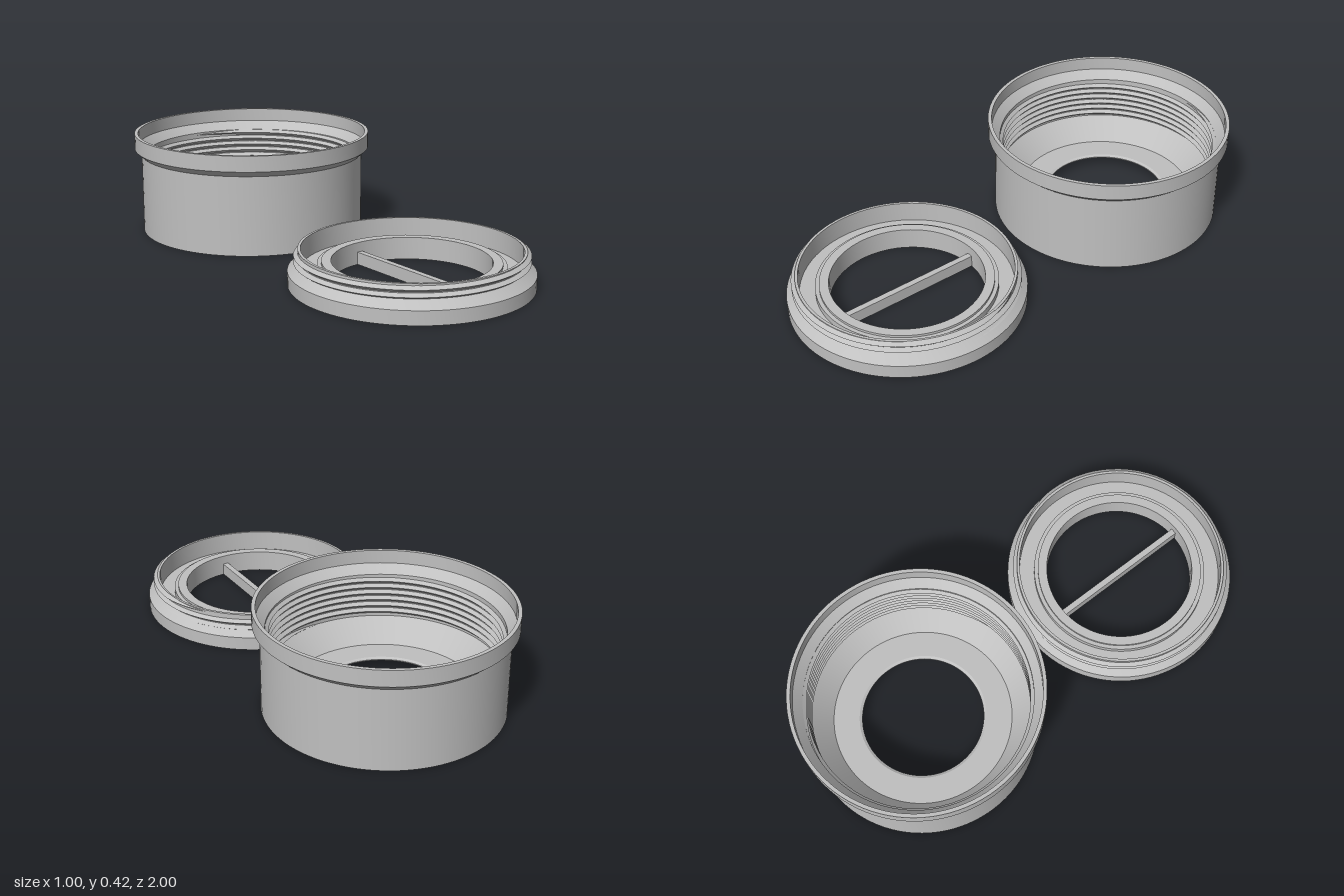
import * as THREE from 'three';
import { toCreasedNormals } from 'three/addons/utils/BufferGeometryUtils.js';

const SEGMENTS = 96;
const PITCH = 0.027;

// Closed profile of [radius, y], running up the outside and down the inside
function turned(name, profile, material) {
  const points = [...profile, profile[0]].map(([r, y]) => new THREE.Vector2(r, y));
  const geometry = toCreasedNormals(new THREE.LatheGeometry(points, SEGMENTS), 0.35);
  const mesh = new THREE.Mesh(geometry, material);
  mesh.name = name;
  return mesh;
}

// V-shaped helical ridge from root radius to crest radius, fading out at both ends
function thread(name, root, crest, y0, turns, half, material) {
  const steps = Math.round(turns * 72);
  const positions = [], index = [];
  const side = crest > root ? 1 : -1;
  for (let i = 0; i <= steps; i++) {
    const angle = (i / 72) * Math.PI * 2;
    const y = y0 + (i / 72) * PITCH;
    const fade = Math.min(1, i / 6, (steps - i) / 6);
    const tip = root + (crest - root) * fade;
    const h = half * fade * side;
    for (const [r, dy] of [[root, -h], [tip, 0], [root, h]]) {
      positions.push(Math.sin(angle) * r, y + dy, Math.cos(angle) * r);
    }
    if (i === steps) continue;
    for (let j = 0; j < 2; j++) {
      const a = i * 3 + j, b = a + 3;
      index.push(a, b, b + 1, a, b + 1, a + 1);
    }
  }
  const geometry = new THREE.BufferGeometry();
  geometry.setAttribute('position', new THREE.Float32BufferAttribute(positions, 3));
  geometry.setIndex(index);
  const mesh = new THREE.Mesh(toCreasedNormals(geometry, 0.35), material);
  mesh.name = name;
  return mesh;
}

export function createModel() {
  const grey = new THREE.MeshStandardMaterial({ color: 0xc0c0c0 });
  grey.name = 'light grey';
  const model = new THREE.Group();
  model.name = 'threadedCupAndRing';

  // Cup: flared rim, threaded bore, conical floor and a recessed underside
  const cup = new THREE.Group();
  cup.name = 'cup';
  cup.position.z = -0.502;
  cup.add(turned('cupBody', [
    [0.455, 0], [0.47, 0], [0.47, 0.33], [0.498, 0.355], [0.498, 0.42],
    [0.483, 0.42], [0.483, 0.365], [0.449, 0.33], [0.449, 0.145], [0.362, 0.058],
    [0.258, 0.058], [0.247, 0.052], [0.247, 0.048], [0.29, 0.03], [0.418, 0.03],
  ], grey));
  cup.add(thread('cupThread', 0.45, 0.436, 0.145, 6.5, 0.0125, grey));
  model.add(cup);

  // Retaining ring: shoulder, thin threaded wall and a stepped inner collar
  const ring = new THREE.Group();
  ring.name = 'ring';
  ring.position.z = 0.53;
  ring.add(turned('ringBody', [
    [0.355, 0], [0.47, 0], [0.47, 0.055], [0.438, 0.085], [0.431, 0.092],
    [0.431, 0.14], [0.42, 0.14], [0.42, 0.055], [0.358, 0.055], [0.358, 0.08],
    [0.342, 0.08], [0.342, 0.09], [0.305, 0.09], [0.305, 0], [0.338, 0], [0.346, 0.008],
  ], grey));
  ring.add(thread('ringThread', 0.43, 0.447, 0.07, 2.35, 0.0125, grey));

  // Grip bar across the opening
  const bar = new THREE.Mesh(new THREE.BoxGeometry(0.025, 0.05, 0.62), grey);
  bar.name = 'gripBar';
  bar.position.y = 0.026;
  ring.add(bar);
  model.add(ring);

  return model;
}
